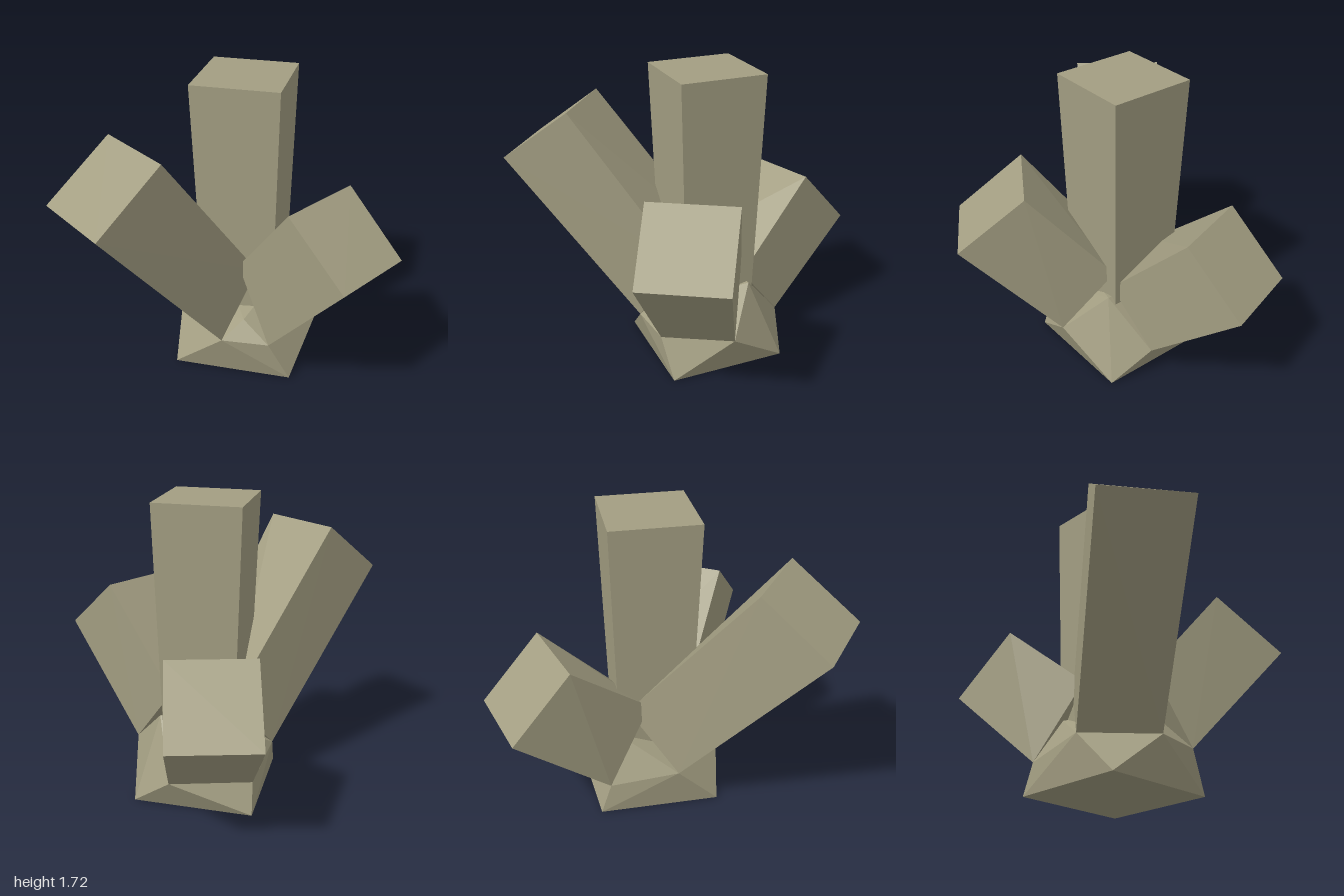
import * as THREE from 'three';
import { ConvexGeometry } from 'three/addons/geometries/ConvexGeometry.js';

export function createModel() {
  const group = new THREE.Group();
  const material = new THREE.MeshStandardMaterial({ color: 0xa39e82, flatShading: true });

  // Faceted solid spanned by its corner points
  const solid = (name, corners) => {
    const points = corners.map((c) => new THREE.Vector3(...c));
    const mesh = new THREE.Mesh(new ConvexGeometry(points), material);
    mesh.name = name;
    group.add(mesh);
  };

  // Axis-aligned square of corners at height y
  const square = (x0, x1, y, z0, z1) => [[x0, y, z0], [x1, y, z0], [x1, y, z1], [x0, y, z1]];

  // Where the underside of each arm leaves the base
  const rightRoot = [[-0.08, 0.245, 0.36], [-0.41, 0.245, 0.06]];
  const leftRoot = [[0.19, 0.235, 0.33], [0.4, 0.235, -0.04]];
  const backRoot = [[0.08, 0.18, -0.47], [-0.37, 0.18, -0.33]];

  // Square foot with the crotches between neighbouring arms
  solid('base', [
    ...square(-0.38, 0.31, 0, -0.39, 0.3),
    ...rightRoot, ...leftRoot, ...backRoot,
    [0.03, 0.35, 0.27], [0.2, 0.475, -0.22], [-0.25, 0.44, -0.25],
  ]);

  // Upright trunk, slightly wider at the top
  solid('trunk', [
    ...square(-0.24, 0.17, 0.3, -0.25, 0.16),
    ...square(-0.28, 0.21, 1.72, -0.295, 0.197),
  ]);

  // Three slanted arms: underside root, buried upper root, square tip
  solid('rightArm', [
    ...rightRoot, [0.08, 0.62, 0.15], [-0.21, 0.58, -0.2],
    [-0.66, 1.49, 0.39], [-0.27, 1.49, 0.68], [-0.5, 1.2, 1], [-0.895, 1.2, 0.7],
  ]);
  solid('leftArm', [
    ...leftRoot, [-0.01, 0.68, 0.22], [0.14, 0.61, -0.2],
    [0.57, 1.16, 0.02], [0.31, 1.16, 0.45], [0.64, 0.845, 0.64], [0.89, 0.845, 0.22],
  ]);
  solid('backArm', [
    ...backRoot, [0.16, 0.52, -0.2], [-0.24, 0.62, -0.08],
    [0.035, 1.01, -0.67], [-0.43, 1.01, -0.53], [-0.06, 0.655, -1], [-0.53, 0.655, -0.86],
  ]);

  return group;
}
